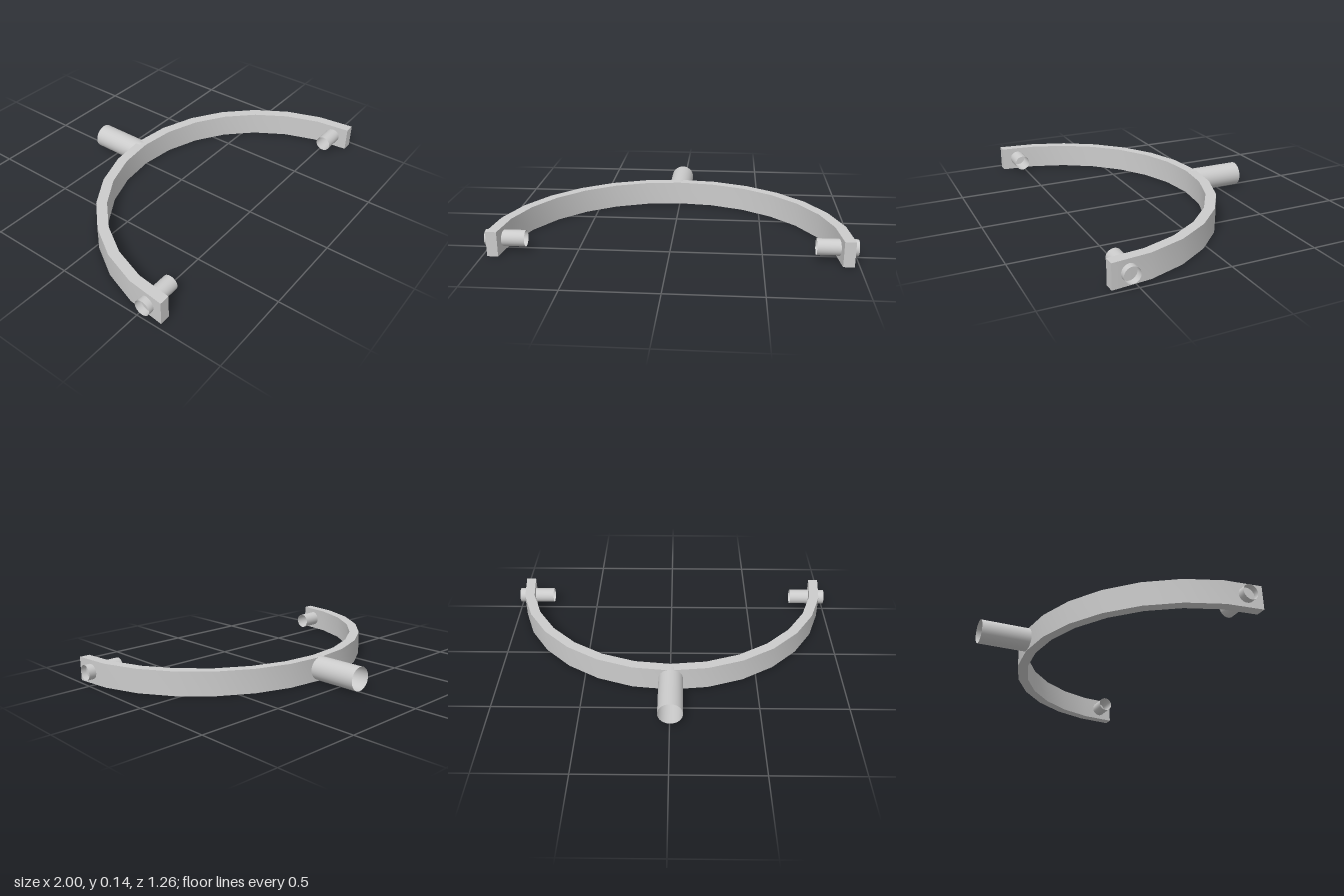
import * as THREE from 'three';
import { toCreasedNormals } from 'three/addons/utils/BufferGeometryUtils.js';

const material = new THREE.MeshStandardMaterial({ color: 0xcccccc });
const openMaterial = new THREE.MeshStandardMaterial({ color: 0xcccccc, side: THREE.DoubleSide });

// Half-ring yoke: a faceted arc of rectangular section, opening towards +z
function makeBand() {
  const steps = 14, centreZ = 0.63;
  const arc = (radius) => Array.from({ length: steps + 1 }, (_, i) => {
    const a = Math.PI * i / steps;
    return new THREE.Vector2(radius * Math.cos(a), centreZ - radius * Math.sin(a));
  });
  const shape = new THREE.Shape([...arc(0.972), ...arc(0.912).reverse()]);
  const geometry = new THREE.ExtrudeGeometry(shape, { depth: 0.14, bevelEnabled: false });
  geometry.rotateX(Math.PI / 2).translate(0, 0.147, 0);
  const mesh = new THREE.Mesh(toCreasedNormals(geometry, 0.6), material);
  mesh.name = 'yokeBand';
  return mesh;
}

// Open-ended tube lying along the x or z axis
function makeTube(name, radius, length, axis, x, y, z) {
  const geometry = new THREE.CylinderGeometry(radius, radius, length, 32, 1, true);
  if (axis === 'x') geometry.rotateZ(Math.PI / 2);
  else geometry.rotateX(Math.PI / 2);
  const mesh = new THREE.Mesh(geometry, openMaterial);
  mesh.name = name;
  mesh.position.set(x, y, z);
  return mesh;
}

export function createModel() {
  const model = new THREE.Group();
  model.name = 'yoke';
  model.add(makeBand());

  // Pivot pins through both arm tips
  for (const side of [1, -1]) {
    const name = side > 0 ? 'leftPivotPin' : 'rightPivotPin';
    model.add(makeTube(name, 0.045, 0.22, 'x', side * 0.89, 0.078, 0.535));
  }

  // Mounting stem behind the middle of the band
  model.add(makeTube('mountingStem', 0.07, 0.32, 'z', -0.003, 0.08, -0.47));
  return model;
}
